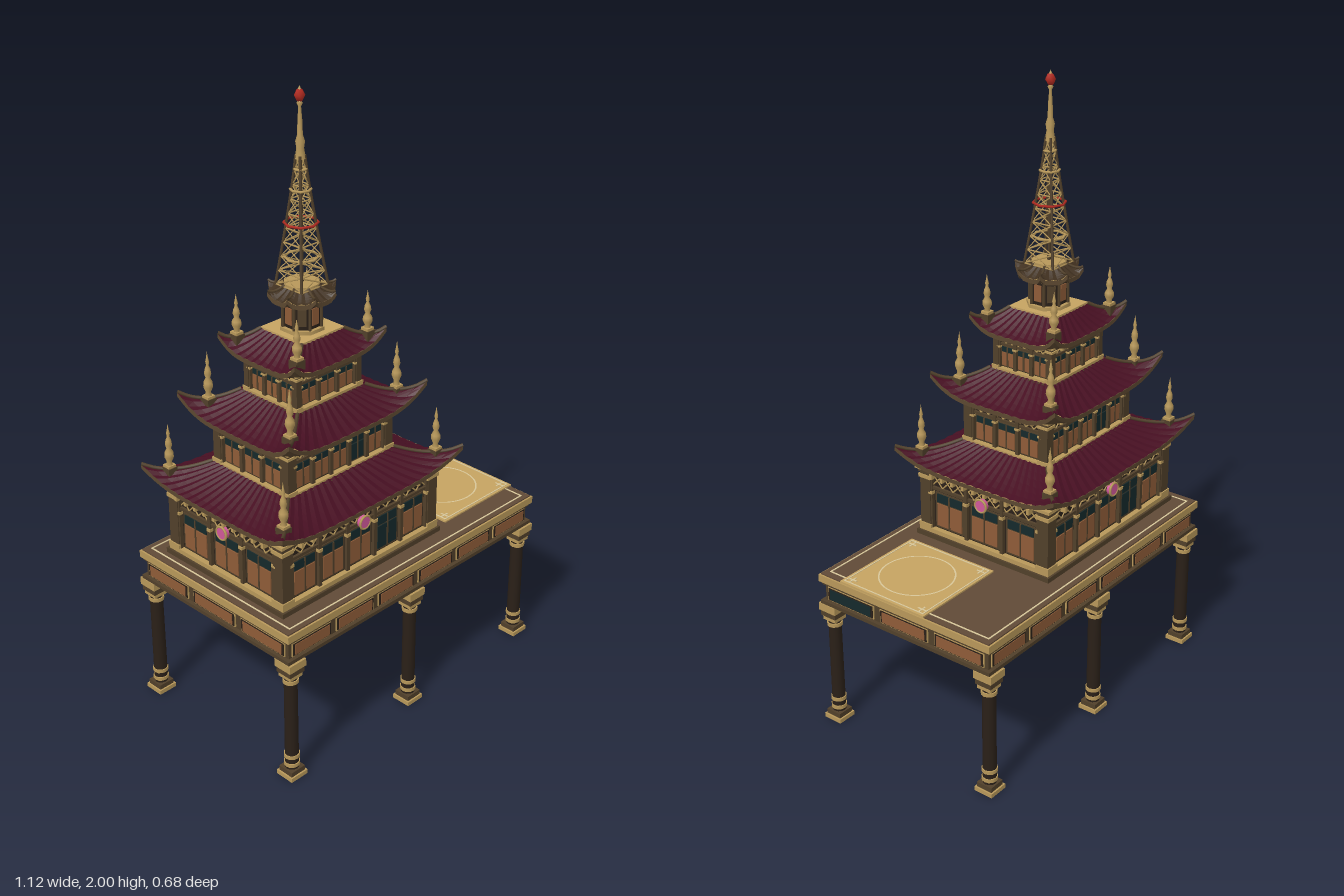
import * as THREE from 'three';

const mat = (color, flat = false) => new THREE.MeshStandardMaterial({ color, flatShading: flat, side: flat ? THREE.DoubleSide : THREE.FrontSide });
const M = {
  wood: mat(0x51402a), dark: mat(0x2a2018), gold: mat(0xb8985a), cream: mat(0xd8c79a), deck: mat(0x614a37),
  panel: mat(0x8f5c38), teal: mat(0x15292b), carpet: mat(0xc6a462), red: mat(0xb02a20), pink: mat(0xd0589a),
  tile: mat(0x470f22, true), soffit: mat(0x5c4830, true), topRoof: mat(0x40301f, true),
};
const V = (x, y, z) => new THREE.Vector3(x, y, z);

function add(parent, name, geo, m, x = 0, y = 0, z = 0) {
  const mesh = new THREE.Mesh(geo, m);
  mesh.name = name;
  mesh.position.set(x, y, z);
  parent.add(mesh);
  return mesh;
}
// box given by its bottom height y0 and top height y1
const box = (p, name, m, w, y0, y1, d, x = 0, z = 0) =>
  add(p, name, new THREE.BoxGeometry(w, y1 - y0, d), m, x, (y0 + y1) / 2, z);

// round bar between two points
function bar(p, name, m, a, b, r, sides = 6) {
  const mesh = add(p, name, new THREE.CylinderGeometry(r, r, a.distanceTo(b), sides), m);
  mesh.position.copy(a).add(b).multiplyScalar(0.5);
  mesh.quaternion.setFromUnitVectors(V(0, 1, 0), b.clone().sub(a).normalize());
  return mesh;
}
const group = (p, name) => {
  const g = new THREE.Group();
  g.name = name;
  p.add(g);
  return g;
};

const rect = (hx, hz) => [[hx, hz], [hx, -hz], [-hx, -hz], [-hx, hz]];
const octagon = r => Array.from({ length: 8 }, (_, i) => {
  const a = Math.PI / 8 - i * Math.PI / 4;
  return [r * Math.cos(a), r * Math.sin(a)];
});

// lofted roof skin: rows are [t from eave to top, height, share of corner lift]
function roofSkin(outer, inner, rows, lift, n, bump) {
  const pos = [], idx = [], per = outer.length * (n + 1);
  rows.forEach(([t, y, k]) => outer.forEach((c, i) => {
    const j = (i + 1) % outer.length;
    for (let q = 0; q <= n; q++) {
      const s = q / n, corner = Math.abs(2 * s - 1) ** 5;
      const at = (a, axis) => a[i][axis] + (a[j][axis] - a[i][axis]) * s;
      const pull = 1 - 0.05 * (1 - corner) * (1 - t);
      const px = (at(outer, 0) * (1 - t) + at(inner, 0) * t) * pull;
      const pz = (at(outer, 1) * (1 - t) + at(inner, 1) * t) * pull;
      pos.push(px, y + lift * corner * k + (q % 2 ? bump : 0), pz);
    }
  }));
  for (let r = 0; r + 1 < rows.length; r++) {
    for (let q = 0; q < per; q++) {
      if (q % (n + 1) === n) continue;
      const a = r * per + q, b = a + per;
      idx.push(a, a + 1, b, a + 1, b + 1, b);
    }
  }
  const geo = new THREE.BufferGeometry();
  geo.setAttribute('position', new THREE.Float32BufferAttribute(pos, 3));
  geo.setIndex(idx);
  geo.computeVertexNormals();
  return geo;
}

function roof(p, outer, inner, y0, y1, lift, n, m) {
  const g = group(p, 'roof');
  const th = 0.014, rows = [];
  const height = t => y0 + (y1 - y0) * t ** 1.25;
  for (let i = 0; i <= 6; i++) rows.push([i / 6, height(i / 6), (1 - i / 6) ** 2.5]);
  add(g, 'roofTiles', roofSkin(outer, inner, rows, lift, n, 0.003), m);
  add(g, 'eaveSoffit', roofSkin(outer, inner, [[0, y0, 1], [0, y0 - th, 1], [0.2, y0 - th, 0.4], [0.6, y0 - th, 0]], lift, n, 0), M.soffit);
  // hip ridges follow the corner of the roof
  outer.forEach((c, i) => {
    const pts = rows.map(([t, y, k]) => V(c[0] * (1 - t) + inner[i][0] * t, y + lift * k + 0.004, c[1] * (1 - t) + inner[i][1] * t));
    add(g, 'hipRidge', new THREE.TubeGeometry(new THREE.CatmullRomCurve3(pts), 12, outer.length > 4 ? 0.004 : 0.006, 6), M.wood);
  });
  return g;
}

// pointed corner finial on a square foot
function finial(p, x, y, z, h) {
  const g = group(p, 'cornerFinial');
  g.position.set(x, y, z);
  box(g, 'finialFoot', M.wood, 0.034, -0.01, 0.022, 0.034);
  box(g, 'finialCap', M.gold, 0.028, 0.022, 0.03, 0.028);
  const prof = [[0.011, 0.15], [0.008, 0.24], [0.015, 0.34], [0.014, 0.42], [0.007, 0.5], [0.011, 0.58], [0.009, 0.66], [0.004, 0.74], [0.006, 0.8], [0.003, 0.88], [0, 1]];
  add(g, 'finialSpire', new THREE.LatheGeometry(prof.map(([r, v]) => new THREE.Vector2(r, v * h)), 10), M.gold);
}

// one storey: core, plinth, and four dressed walls
function storey(p, name, hx, hz, y0, y1, bays, medallion) {
  const g = group(p, name), H = y1 - y0, Y = f => y0 + f * H;
  const pw = Math.min(0.04, hx * 0.14);
  box(g, 'core', M.dark, 2 * hx - 0.03, y0 - 0.02, y1, 2 * hz - 0.03);
  box(g, 'plinth', M.wood, 2 * hx + 0.02, y0, Y(0.07), 2 * hz + 0.02);
  box(g, 'plinthTrim', M.gold, 2 * hx + 0.006, Y(0.07), Y(0.13), 2 * hz + 0.006);
  box(g, 'lintel', M.wood, 2 * hx - 0.012, Y(0.69), Y(0.73), 2 * hz - 0.012);
  box(g, 'cornice', M.wood, 2 * hx + 0.008, Y(0.91), Y(0.96), 2 * hz + 0.008);
  box(g, 'corniceTrim', M.gold, 2 * hx + 0.024, Y(0.96), Y(1), 2 * hz + 0.024);
  for (const [x, z] of rect(hx - pw / 2, hz - pw / 2)) {
    box(g, 'cornerPillar', M.wood, pw, Y(0.13), Y(0.91), pw, x, z);
    for (const f of [0.13, 0.83]) box(g, 'pillarBand', M.gold, pw + 0.008, Y(f), Y(f + 0.05), pw + 0.008, x, z);
  }
  for (let k = 0; k < 4; k++) {
    const wall = group(g, 'wall');
    wall.rotation.y = k * Math.PI / 2;
    const half = (k % 2 ? hz : hx) - pw, face = (k % 2 ? hx : hz) - 0.015;
    const count = k % 2 ? bays[1] : bays[0], w = 2 * half / count;
    for (let i = 0; i <= count; i++) {
      const x = -half + i * w;
      box(wall, 'pilaster', M.wood, 0.012, Y(0.13), Y(0.91), 0.018, x, face + 0.003);
      box(wall, 'pilasterCap', M.gold, 0.016, Y(0.62), Y(0.66), 0.024, x, face + 0.003);
    }
    for (let i = 0; i < count; i++) {
      const x = -half + (i + 0.5) * w, open = k % 2 === 0 && i === 3;
      box(wall, 'panelFrame', M.wood, w * 0.82, Y(0.15), Y(0.66), 0.006, x, face);
      box(wall, 'lowerPanel', open ? M.teal : M.panel, w * 0.7, Y(0.18), Y(0.5), 0.012, x, face);
      box(wall, 'window', M.teal, w * 0.7, Y(0.52), Y(0.64), 0.012, x, face);
      box(wall, 'panelMullion', M.wood, 0.005, Y(0.18), Y(0.64), 0.016, x, face);
    }
    // crossed lattice strip under the eaves
    const cell = 0.18 * H, n = Math.max(2, Math.round(2 * half / cell)), cw = 2 * half / n;
    for (let i = 0; i < n; i++) {
      const a = -half + i * cw;
      for (const [f0, f1] of [[0.73, 0.91], [0.91, 0.73]])
        bar(wall, 'lattice', M.gold, V(a, Y(f0), face + 0.003), V(a + cw, Y(f1), face + 0.003), 0.0025, 4);
      box(wall, 'eaveBracket', M.gold, 0.01, Y(0.89), Y(0.97), 0.03, a + cw / 2, face + 0.022);
    }
    if (medallion) {
      add(wall, 'medallionRim', new THREE.TorusGeometry(0.021, 0.004, 6, 20), M.gold, 0, Y(0.74), face + 0.024);
      add(wall, 'medallion', new THREE.CylinderGeometry(0.02, 0.02, 0.016, 20).rotateX(Math.PI / 2), M.pink, 0, Y(0.74), face + 0.018);
    }
  }
}

function platform(root) {
  const g = group(root, 'platform');
  box(g, 'underside', M.dark, 1.1, 0.42, 0.43, 0.65);
  box(g, 'lowerTrim', M.wood, 1.115, 0.425, 0.437, 0.665);
  box(g, 'friezeCore', M.wood, 1.09, 0.43, 0.5, 0.64);
  box(g, 'cornice', M.wood, 1.105, 0.492, 0.503, 0.655);
  box(g, 'rim', M.gold, 1.12, 0.503, 0.527, 0.67);
  box(g, 'deck', M.deck, 1.108, 0.527, 0.531, 0.658);
  for (let k = 0; k < 4; k++) {
    const side = group(g, 'frieze');
    side.rotation.y = k * Math.PI / 2;
    const half = k % 2 ? 0.32 : 0.545, face = k % 2 ? 0.545 : 0.32, n = k % 2 ? 3 : 6, w = 2 * half / n;
    for (let i = 0; i < n; i++) {
      const x = -half + (i + 0.5) * w;
      box(side, 'friezeFrame', M.gold, w * 0.88, 0.441, 0.488, 0.008, x, face);
      box(side, 'friezeFrameInset', M.dark, w * 0.85, 0.444, 0.485, 0.012, x, face);
      box(side, 'friezePanel', k === 1 && i === 0 ? M.teal : M.panel, w * 0.78, 0.447, 0.482, 0.016, x, face);
    }
    box(side, 'deckLine', M.cream, k % 2 ? 0.624 : 1.064, 0.53, 0.5325, 0.005, 0, k % 2 ? 0.53 : 0.31);
  }
  // forecourt carpet with border and circle
  const c = group(g, 'carpet');
  c.position.set(0.393, 0, 0.078);
  box(c, 'carpetSlab', M.carpet, 0.332, 0.53, 0.536, 0.332);
  for (const s of [-1, 1]) {
    box(c, 'carpetBorder', M.cream, 0.316, 0.535, 0.5375, 0.004, 0, s * 0.156);
    box(c, 'carpetBorder', M.cream, 0.004, 0.535, 0.5375, 0.316, s * 0.156, 0);
    for (const t of [-1, 1]) {
      box(c, 'carpetCross', M.cream, 0.03, 0.535, 0.5372, 0.005, s * 0.138, t * 0.138);
      box(c, 'carpetCross', M.cream, 0.005, 0.535, 0.5372, 0.03, s * 0.138, t * 0.138);
    }
  }
  add(c, 'carpetCircle', new THREE.RingGeometry(0.115, 0.12, 48).rotateX(-Math.PI / 2), M.cream, 0, 0.5375, 0);
  // six stilts
  for (const x of [-0.527, -0.008, 0.527]) for (const z of [-0.307, 0.307]) {
    const leg = group(g, 'stilt');
    leg.position.set(x, 0, z);
    box(leg, 'foot', M.gold, 0.066, 0, 0.014, 0.066);
    box(leg, 'footStep', M.wood, 0.055, 0.014, 0.03, 0.055);
    add(leg, 'shaft', new THREE.CylinderGeometry(0.021, 0.022, 0.36, 12), M.dark, 0, 0.2, 0);
    for (const y of [0.045, 0.075, 0.35]) add(leg, 'shaftRing', new THREE.CylinderGeometry(0.025, 0.025, 0.012, 12), M.gold, 0, y, 0);
    [[0.05, 0.365, 0.38], [0.058, 0.38, 0.4], [0.066, 0.4, 0.425]].forEach(([w, a, b], i) => box(leg, 'capital', i === 1 ? M.wood : M.gold, w, a, b, w));
  }
}

// lattice steeple with rings, mast and jewel
function steeple(p) {
  const g = group(p, 'steeple'), levels = 9, yA = 1.41, yB = 1.8;
  const at = (i, c) => {
    const t = i / levels, r = 0.045 * (1 - t) ** 1.15 + 0.009;
    return V(c[0] * r, yA + (yB - yA) * t, c[1] * r);
  };
  const corners = rect(1, 1);
  for (let i = 0; i < levels; i++) corners.forEach((c, k) => {
    const d = corners[(k + 1) % 4];
    bar(g, 'leg', M.wood, at(i, c), at(i + 1, c), 0.0045);
    bar(g, 'rail', M.gold, at(i, c), at(i, d), 0.0025, 4);
    bar(g, 'brace', M.gold, at(i, c), at(i + 1, d), 0.0022, 4);
    bar(g, 'brace', M.gold, at(i, d), at(i + 1, c), 0.0022, 4);
  });
  bar(g, 'mastCore', M.wood, V(0, 1.4, 0), V(0, 1.8, 0), 0.006);
  [[1.495, 0.05, M.gold], [1.6, 0.05, M.red], [1.7, 0.03, M.gold], [1.76, 0.018, M.gold]].forEach(([y, r, m]) =>
    add(g, 'balconyRing', new THREE.TorusGeometry(r, 0.004, 6, 8).rotateX(Math.PI / 2), m, 0, y, 0));
  const prof = [[0.016, 1.79], [0.011, 1.82], [0.014, 1.84], [0.008, 1.86], [0.007, 1.9], [0.004, 1.94], [0.009, 1.95], [0.004, 1.957]];
  add(g, 'mast', new THREE.LatheGeometry(prof.map(([r, y]) => new THREE.Vector2(r, y)), 8), M.gold);
  add(g, 'jewel', new THREE.OctahedronGeometry(0.016, 1).scale(1, 1.25, 1), M.red, 0, 1.972, 0);
  add(g, 'jewelTip', new THREE.ConeGeometry(0.007, 0.016, 8), M.gold, 0, 1.992, 0);
}

export function createModel() {
  const root = new THREE.Group();
  root.name = 'stiltPagoda';
  platform(root);
  const pagoda = group(root, 'pagoda');
  pagoda.position.x = -0.165;

  storey(pagoda, 'firstStorey', 0.335, 0.252, 0.53, 0.775, [5, 3], true);
  roof(pagoda, rect(0.387, 0.31), rect(0.225, 0.165), 0.785, 0.845, 0.055, 36, M.tile);
  storey(pagoda, 'secondStorey', 0.222, 0.163, 0.83, 0.998, [5, 3], false);
  roof(pagoda, rect(0.29, 0.24), rect(0.14, 0.12), 1.01, 1.075, 0.065, 28, M.tile);
  storey(pagoda, 'thirdStorey', 0.135, 0.113, 1.065, 1.2, [3, 3], false);
  roof(pagoda, rect(0.19, 0.162), rect(0.085, 0.085), 1.21, 1.268, 0.05, 20, M.tile);
  for (const [x, z, y, h] of [[0.325, 0.25, 0.81, 0.17], [0.223, 0.175, 1.035, 0.175], [0.145, 0.127, 1.235, 0.15]])
    for (const [sx, sz] of rect(1, 1)) finial(pagoda, sx * x, y, sz * z, h);

  // octagonal lantern room on a square terrace
  const room = group(pagoda, 'lanternRoom');
  box(room, 'terrace', M.carpet, 0.174, 1.255, 1.274, 0.174);
  const drum = (name, m, r, y0, y1) => add(room, name, new THREE.CylinderGeometry(r, r, y1 - y0, 8).rotateY(Math.PI / 8), m, 0, (y0 + y1) / 2, 0);
  drum('roomBase', M.gold, 0.07, 1.27, 1.285);
  drum('roomWall', M.dark, 0.058, 1.28, 1.38);
  drum('roomCornice', M.gold, 0.066, 1.362, 1.372);
  for (let i = 0; i < 8; i++) {
    const side = group(room, 'roomSide');
    side.rotation.y = i * Math.PI / 4;
    box(side, 'roomPanel', M.panel, 0.026, 1.297, 1.35, 0.006, 0, 0.054);
    side.children[0].material = i % 2 ? M.wood : M.panel;
    bar(side, 'roomPost', M.wood, V(0.0235, 1.28, 0.0567), V(0.0235, 1.375, 0.0567), 0.005);
  }
  roof(pagoda, octagon(0.108), octagon(0.05), 1.382, 1.412, 0.02, 6, M.topRoof);
  drum('steepleCollar', M.gold, 0.056, 1.406, 1.418);
  steeple(pagoda);
  return root;
}
